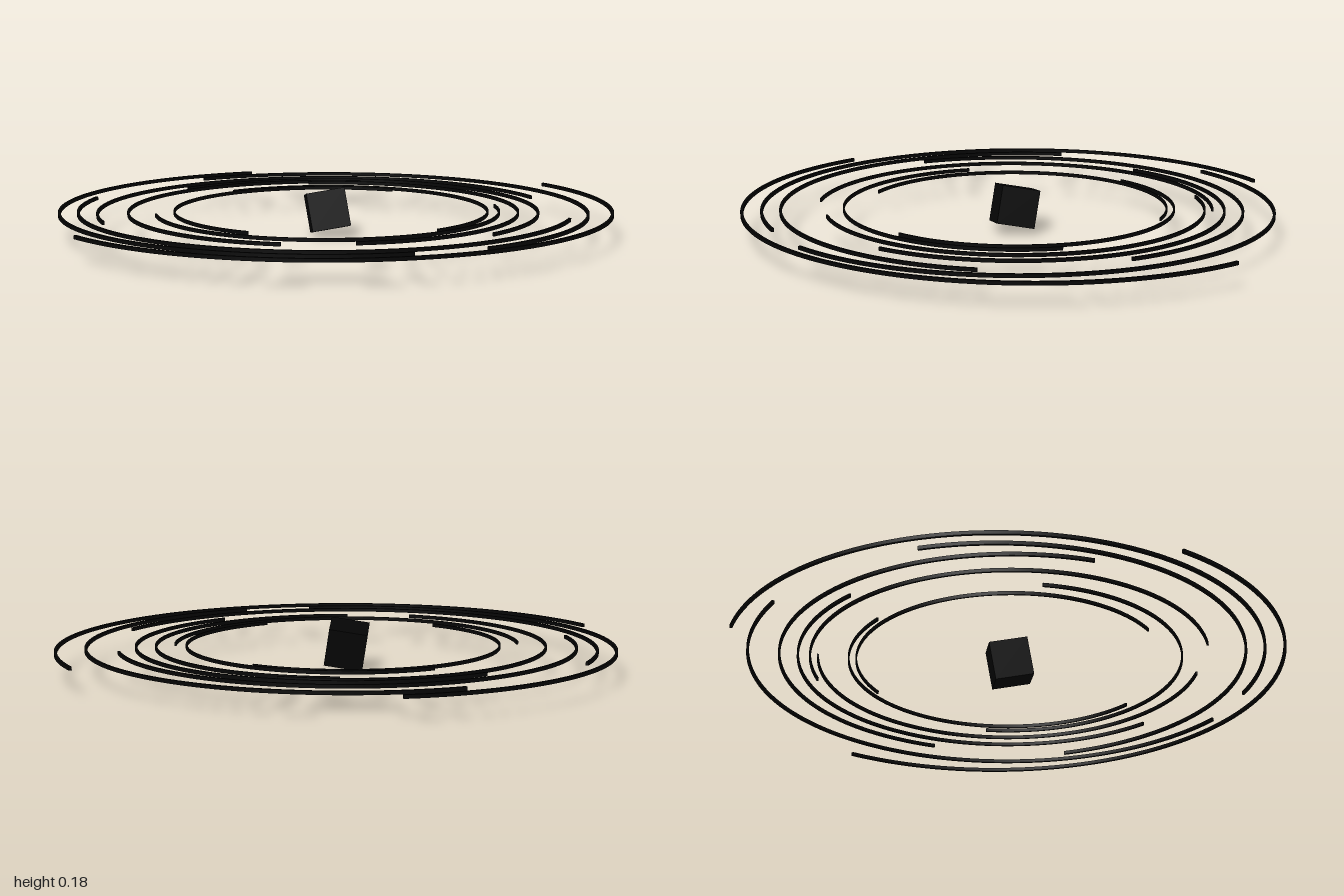
import * as THREE from 'three';
import { toCreasedNormals } from 'three/addons/utils/BufferGeometryUtils.js';

const black = new THREE.MeshStandardMaterial({ color: 0x050505 });
const HEIGHT = 0.013;
const SPAN = THREE.MathUtils.degToRad(178.3);

// Thin half ring lying flat; its middle points at the given angle (from +x towards +z)
function halfRing(radius, middleDeg) {
  const t = 0.0051 * radius;
  const mid = THREE.MathUtils.degToRad(middleDeg);
  const a = mid - SPAN / 2, b = mid + SPAN / 2;
  const shape = new THREE.Shape();
  shape.absarc(0, 0, radius + t, a, b, false);
  shape.absarc(0, 0, radius - t, b, a, true);
  const geo = new THREE.ExtrudeGeometry(shape, { depth: HEIGHT, bevelEnabled: false, curveSegments: 80 });
  geo.rotateX(Math.PI / 2).translate(0, HEIGHT / 2, 0);
  return new THREE.Mesh(toCreasedNormals(geo, 0.6), black);
}

// [radius, middle angle] of each half ring
const innerRings = [
  [0.549, -147.7], [0.576, -35.2], [0.617, 84.8], [0.685, -2.7],
  [0.713, -164.3], [0.756, -42.1], [0.822, -106.2], [0.933, -28.5],
];
const outerRings = [[0.892, 110.7], [0.959, 166.5], [1.029, 59.1]];

export function createModel() {
  const model = new THREE.Group();
  model.name = 'cubeWithOrbitRings';

  // Tilted cube in the middle
  const cube = new THREE.Mesh(new THREE.BoxGeometry(0.139, 0.139, 0.139), black);
  cube.name = 'centreCube';
  cube.position.set(-0.034, 0.0915, 0);
  cube.rotation.set(-0.192, 0, 0.157);
  model.add(cube);

  // Ring sets, very slightly tipped; the outer set sits a little further back
  const addRings = (name, list, z) => {
    const set = new THREE.Group();
    set.name = name;
    list.forEach(([r, mid], i) => {
      const ring = halfRing(r, mid);
      ring.name = `${name}Arc${i + 1}`;
      set.add(ring);
    });
    set.position.set(-0.034, 0.0915, z);
    set.rotation.x = -0.0045;
    model.add(set);
  };
  addRings('innerRing', innerRings, 0);
  addRings('outerRing', outerRings, -0.05);
  return model;
}
